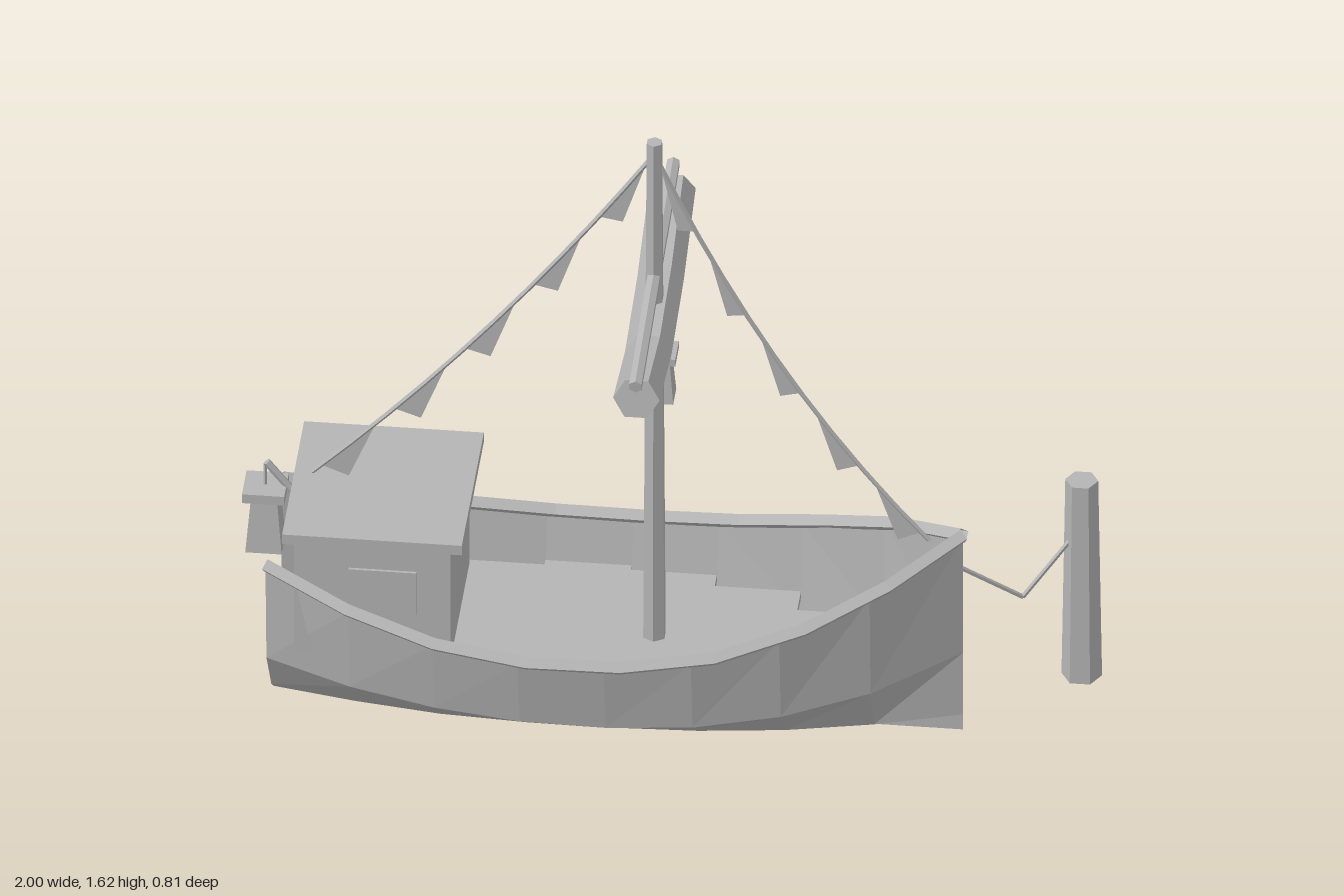
import * as THREE from 'three';

const grey = new THREE.MeshStandardMaterial({ color: 0xb4b4b4, flatShading: true, side: THREE.DoubleSide });
grey.name = 'plain grey';

const V = (x, y, z) => new THREE.Vector3(x, y, z);

function add(parent, name, geometry, x = 0, y = 0, z = 0) {
  const mesh = new THREE.Mesh(geometry, grey);
  mesh.name = name;
  mesh.position.set(x, y, z);
  parent.add(mesh);
  return mesh;
}

function surface(points, index) {
  const g = new THREE.BufferGeometry().setFromPoints(points);
  g.setIndex(index);
  const flat = g.toNonIndexed();
  flat.computeVertexNormals();
  return flat;
}

// Straight round bar between two points
function bar(parent, name, a, b, r, sides = 6) {
  const d = b.clone().sub(a);
  const mesh = add(parent, name, new THREE.CylinderGeometry(r, r, d.length(), sides));
  mesh.position.copy(a).add(b).multiplyScalar(0.5);
  mesh.quaternion.setFromUnitVectors(V(0, 1, 0), d.normalize());
}

// Hull stations from stern to bow
const halfWidth = [0.18, 0.25, 0.295, 0.316, 0.316, 0.296, 0.245, 0.157, 0];
const sheer = [0.465, 0.398, 0.35, 0.328, 0.326, 0.342, 0.39, 0.465, 0.55];
const chine = [0.19, 0.165, 0.148, 0.137, 0.134, 0.138, 0.153, 0.182, 0.22];
const stationX = i => -0.93 + i * 1.63 / 8;

function hullGeometry() {
  const points = [], index = [];
  for (let i = 0; i <= 8; i++) {
    const w = halfWidth[i], x = stationX(i);
    const bilge = 0.46 - 0.16 * ((i - 4) / 4) ** 4; // finer bottom towards the ends
    const side = [[w, sheer[i]], [0.88 * w, chine[i]], [bilge * w, 0.043]];
    for (const [z, y] of side) points.push(V(x, y, z));
    points.push(V(x, 0, 0));
    for (const [z, y] of side.reverse()) points.push(V(x, y, -z));
  }
  for (let i = 0; i < 8; i++) {
    for (let j = 0; j < 6; j++) {
      const a = i * 7 + j, b = a + 1, c = a + 7, d = a + 8;
      index.push(a, b, c, b, d, c);
    }
  }
  return surface(points, index);
}

// Furled sail: a six-sided section swept along a sagging path
function sailGeometry() {
  const path = [[0.385, 1.155], [0.13, 1.112], [-0.13, 1.145], [-0.385, 1.232]];
  const tilt = [-0.17, -0.02, 0.22, 0.33];
  const points = [], index = [];
  path.forEach(([z, y], i) => {
    for (let k = 0; k < 6; k++) {
      const a = k * Math.PI / 3, h = 0.055 * Math.sin(a);
      points.push(V(-0.03 + 0.055 * Math.cos(a), y + h * Math.cos(tilt[i]), z + h * Math.sin(tilt[i])));
    }
  });
  for (let i = 0; i < 3; i++) {
    for (let k = 0; k < 6; k++) {
      const a = i * 6 + k, b = i * 6 + (k + 1) % 6;
      index.push(a, a + 6, b, b, a + 6, b + 6);
    }
  }
  for (let k = 1; k < 5; k++) index.push(0, k, k + 1, 18, 18 + k + 1, 18 + k);
  return surface(points, index);
}

// Square lantern with a flared body, a flat cap and a hanger
function lantern(parent, name, x, y, z, size, hanger) {
  const g = new THREE.Group();
  g.name = name;
  g.position.set(x, y, z);
  const body = new THREE.CylinderGeometry(0.31 * Math.SQRT2 * size, 0.43 * Math.SQRT2 * size, 1.45 * size, 4);
  body.rotateY(Math.PI / 4);
  add(g, 'lanternBody', body, 0, -0.725 * size, 0);
  add(g, 'lanternCap', new THREE.BoxGeometry(size, 0.25 * size, size), 0, 0.125 * size, 0);
  bar(g, 'lanternHanger', V(0, 0.2 * size, 0), V(0, hanger, 0), 0.004, 5);
  parent.add(g);
}

// Sagging line with five pennants
function bunting(parent, name, start, sagPoint, end) {
  const g = new THREE.Group();
  g.name = name;
  const curve = new THREE.QuadraticBezierCurve3(start, sagPoint, end);
  add(g, 'buntingLine', new THREE.TubeGeometry(curve, 10, 0.006, 4));
  for (let i = 0; i < 5; i++) {
    const t = (i + 0.5) / 5;
    const a = curve.getPoint(t - 0.075), b = curve.getPoint(t + 0.075);
    const tip = curve.getPoint(t).add(V(0, -0.09, 0));
    add(g, 'pennant', surface([a, b, tip], [0, 1, 2]));
  }
  parent.add(g);
}

export function createModel() {
  const boat = new THREE.Group();
  boat.name = 'boat';

  // Hull and its rails
  add(boat, 'hull', hullGeometry());
  for (const s of [1, -1]) {
    const curve = new THREE.CatmullRomCurve3(halfWidth.map((w, i) => V(stationX(i), sheer[i] + 0.005, s * w)));
    add(boat, 'rail', new THREE.TubeGeometry(curve, 8, 0.019, 4));
  }

  // Stepped deck
  for (let i = 1; i < 7; i++) {
    const w = 0.88 * Math.min(halfWidth[i], halfWidth[i + 1]);
    add(boat, 'deck', new THREE.BoxGeometry(1.63 / 8, 0.02, 2 * w), stationX(i + 0.5), 0.205, 0);
  }

  // Cabin
  add(boat, 'cabin', new THREE.BoxGeometry(0.37, 0.33, 0.41), -0.675, 0.41, 0);
  add(boat, 'cabinRoof', new THREE.BoxGeometry(0.425, 0.027, 0.47), -0.672, 0.585, 0);
  for (const s of [1, -1]) {
    add(boat, 'cabinWindow', new THREE.BoxGeometry(0.16, 0.12, 0.008), -0.65, 0.435, s * 0.208);
  }

  // Mast, yard and furled sail
  add(boat, 'mast', new THREE.CylinderGeometry(0.02, 0.029, 1.43, 6), -0.03, 0.91, 0);
  bar(boat, 'yard', V(-0.03, 1.203, 0.405), V(-0.03, 1.287, -0.405), 0.017, 6);
  add(boat, 'furledSail', sailGeometry());

  // Bunting from the masthead
  bunting(boat, 'sternBunting', V(-0.03, 1.59, 0), V(-0.4, 1.04, 0), V(-0.84, 0.62, 0));
  bunting(boat, 'bowBunting', V(-0.03, 1.59, 0), V(0.24, 0.96, 0), V(0.62, 0.535, 0));

  // Lanterns
  lantern(boat, 'mastLantern', -0.03, 0.922, -0.13, 0.078, 0.105);
  lantern(boat, 'sternLantern', -0.95, 0.552, 0, 0.1, 0.085);
  bar(boat, 'lanternBracket', V(-0.947, 0.64, 0), V(-0.885, 0.562, 0), 0.01, 5);

  // Mooring post and rope
  const post = add(boat, 'mooringPost', new THREE.CylinderGeometry(0.039, 0.048, 0.555, 6), 0.952, 0.2775, -0.258);
  post.rotation.y = Math.PI / 6;
  const slack = V(0.82, 0.26, -0.187);
  bar(boat, 'mooringRope', V(0.63, 0.43, -0.085), slack, 0.006, 5);
  bar(boat, 'mooringRope', slack, V(0.925, 0.39, -0.243), 0.006, 5);

  return boat;
}
